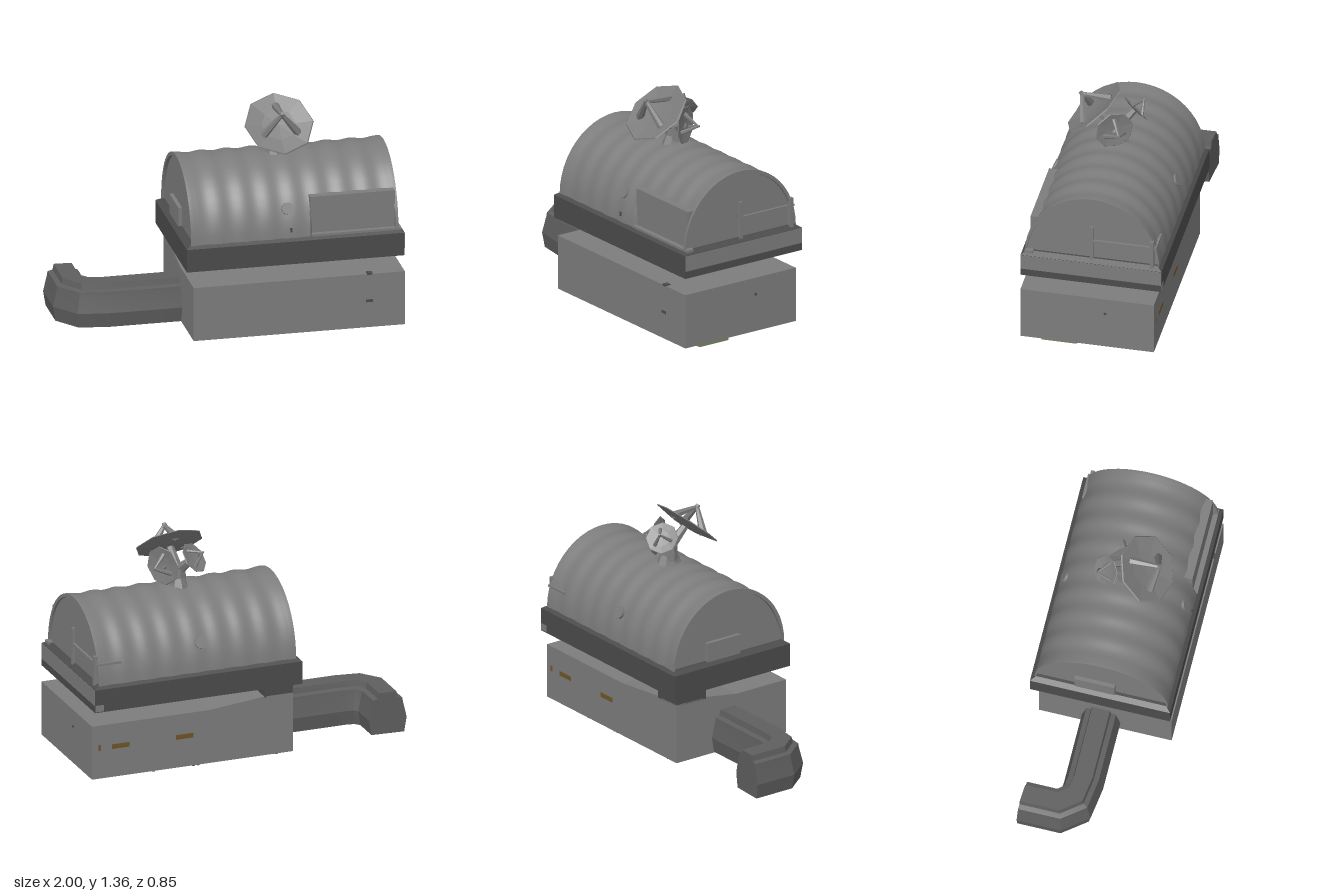
import * as THREE from 'three';
import { toCreasedNormals } from 'three/addons/utils/BufferGeometryUtils.js';

const grey = new THREE.MeshStandardMaterial({ color: 0x7c7c7c });
const flat = new THREE.MeshStandardMaterial({ color: 0x7c7c7c, flatShading: true, side: THREE.DoubleSide });
const dark = new THREE.MeshStandardMaterial({ color: 0x4b4b4b });
const tunnelGrey = new THREE.MeshStandardMaterial({ color: 0x5e5e5e });
const green = new THREE.MeshStandardMaterial({ color: 0x76865c });
const brown = new THREE.MeshStandardMaterial({ color: 0x6e5428 });
const V = (x, y, z) => new THREE.Vector3(x, y, z);

function add(parent, name, geometry, material = grey) {
  const mesh = new THREE.Mesh(geometry, material);
  mesh.name = name;
  parent.add(mesh);
  return mesh;
}

// Box given by its limits on each axis
function block(parent, name, [x0, x1], [y0, y1], [z0, z1], material = grey) {
  const m = add(parent, name, new THREE.BoxGeometry(x1 - x0, y1 - y0, z1 - z0), material);
  m.position.set((x0 + x1) / 2, (y0 + y1) / 2, (z0 + z1) / 2);
  return m;
}

// Tapered rod between two points
function rod(parent, name, a, b, r0, r1 = r0, sides = 6, material = flat) {
  const m = add(parent, name, new THREE.CylinderGeometry(r1, r0, a.distanceTo(b), sides), material);
  m.position.copy(a).lerp(b, 0.5);
  m.quaternion.setFromUnitVectors(V(0, 1, 0), b.clone().sub(a).normalize());
  return m;
}

// Closed skin through matching rings, counter-clockwise seen from the far end
function loft(rings, crease) {
  const n = rings[0].length, last = (rings.length - 1) * n, index = [];
  for (let i = 0; i < rings.length - 1; i++) {
    for (let j = 0; j < n; j++) {
      const a = i * n + j, b = i * n + (j + 1) % n;
      index.push(a, b, b + n, a, b + n, a + n);
    }
  }
  for (let j = 1; j < n - 1; j++) index.push(0, j + 1, j, last, last + j, last + j + 1);
  const g = new THREE.BufferGeometry().setFromPoints(rings.flat());
  g.setIndex(index);
  return toCreasedNormals(g, crease);
}

// Eight-sided dish with a three-legged feed, facing along a normal
function dish(parent, name, centre, normal, r, feed) {
  const g = new THREE.Group();
  g.name = name;
  const profile = [[0, -0.12], [0.5, -0.09], [1, 0], [0.97, 0.03], [0.5, -0.04], [0, -0.07]];
  add(g, 'reflector', new THREE.LatheGeometry(profile.map(([x, y]) => new THREE.Vector2(x * r, y * r)), 8), flat);
  const tip = V(0, feed, 0);
  for (const [x, z] of [[-0.5, 0.3], [0.5, 0.3], [0, -0.6]]) {
    rod(g, 'feedStrut', V(x * r, -0.04 * r, z * r), tip, r * 0.12, r * 0.06);
  }
  add(g, 'feedHorn', new THREE.CylinderGeometry(r * 0.06, r * 0.1, r * 0.15, 6), flat).position.copy(tip);
  g.position.copy(centre);
  g.quaternion.setFromUnitVectors(V(0, 1, 0), normal.clone().normalize());
  parent.add(g);
}

export function createModel() {
  const model = new THREE.Group();
  model.name = 'domedStation';

  // Lower hull, its roof rising to the corner under the column
  const xs = [-0.27, -0.09, 0.25, 0.99], zs = [-0.375, -0.16, 0.06, 0.42];
  const hull = new THREE.BoxGeometry(3, 1, 3, 3, 1, 3);
  const p = hull.attributes.position;
  for (let i = 0; i < p.count; i++) {
    const ix = Math.round(p.getX(i) + 1.5), iz = Math.round(p.getZ(i) + 1.5);
    const top = ix < 2 && iz < 2 ? 0.39 : 0.355;
    p.setXYZ(i, xs[ix], p.getY(i) > 0 ? top : 0.025, zs[iz]);
  }
  add(model, 'lowerHull', toCreasedNormals(hull, 0.05));
  block(model, 'supportColumn', [-0.27, -0.09], [0.38, 0.47], [-0.375, -0.16], dark);

  // Dark platform with a bevelled top edge and a lighter end plate
  const deck = [[0.455, 0], [0.595, 0], [0.615, 0.03]].map(([y, s]) => [
    V(-0.31 + s, y, -0.42 + s), V(-0.31 + s, y, 0.42 - s), V(0.988 - s, y, 0.42 - s), V(0.988 - s, y, -0.42 + s)]);
  add(model, 'platform', loft(deck, 0.2), dark);
  block(model, 'platformEndPlate', [0.97, 0.991], [0.5, 0.593], [-0.419, 0.419]);
  block(model, 'platformCornerPlate', [0.935, 0.985], [0.46, 0.5], [-0.422, -0.4]);

  // Corrugated vault with a plain rim and a recessed face at each end,
  // cut upright along the side panel; the ripples fade out at its foot
  const arch = (x, s) => Array.from({ length: 25 }, (_, j) => {
    const t = Math.PI * j / 24;
    const k = 1 - (1 - s) * Math.min(1, 0.3 + 2 * Math.sin(t));
    const z = -0.4 * k * Math.cos(t);
    return V(x, 0.605 + 0.42 * k * Math.sin(t), x > 0.44 && x < 0.94 ? Math.min(z, 0.365) : z);
  });
  const vault = [arch(-0.262, 0.945), arch(-0.28, 0.95), arch(-0.28, 1), arch(-0.262, 1)];
  for (let i = 0; i <= 64; i++) {
    vault.push(arch(-0.255 + 1.19 * i / 64, 0.986 + 0.011 * Math.cos(i / 64 * Math.PI * 16)));
  }
  vault.push(arch(0.942, 1), arch(0.957, 1), arch(0.957, 0.95), arch(0.945, 0.945));
  add(model, 'vault', loft(vault, 0.6));

  // Vault fittings
  block(model, 'sidePanel', [0.437, 0.942], [0.61, 0.845], [0.25, 0.37]);
  block(model, 'sideSill', [0.44, 0.975], [0.605, 0.622], [0.35, 0.4]);
  block(model, 'endHatch', [-0.285, -0.25], [0.61, 0.73], [-0.16, 0.08]);
  for (const s of [-1, 1]) {
    const port = V(0.305, 0.78, s * 0.36), out = V(0, 0.4, s * 0.917);
    rod(model, 'porthole', port.clone().addScaledVector(out, -0.02), port.clone().addScaledVector(out, 0.01),
      0.037, 0.037, 12, grey);
  }
  block(model, 'sideLatch', [0.312, 0.324], [0.645, 0.67], [0.38, 0.402], dark);

  // Railing on the end of the deck
  block(model, 'railPost', [0.95, 0.968], [0.6, 0.835], [-0.01, 0.01]);
  block(model, 'railPost', [0.95, 0.975], [0.6, 0.785], [-0.37, -0.347]);
  block(model, 'railBar', [0.952, 0.966], [0.727, 0.743], [-0.36, 0]);
  block(model, 'railBarBack', [0.81, 0.965], [0.728, 0.742], [-0.385, -0.365]);

  // Antenna mast and its three dishes
  rod(model, 'mastFoot', V(0.305, 1, 0), V(0.305, 1.065, 0), 0.085, 0.055, 8).scale.x = 0.75;
  rod(model, 'mast', V(0.305, 1.03, 0), V(0.305, 1.12, 0), 0.055, 0.048, 8);
  const head = V(0.305, 1.1, 0);
  const dishes = [
    ['mainDish', V(0.305, 1.222, 0.13), V(0, 0.756, 0.654), 0.207, 0.112],
    ['sideDish', V(0.4, 1.145, -0.01), V(0.84, 0.03, -0.5), 0.117, 0.08],
    ['rearDish', V(0.24, 1.205, -0.1), V(-0.5, 0.6, -0.6), 0.097, 0.07]];
  for (const [name, centre, normal, r, feed] of dishes) {
    rod(model, name + 'Arm', head, centre.clone().addScaledVector(normal, -0.09 * r), 0.035, 0.022);
    dish(model, name, centre, normal, r, feed);
  }

  // Docking tunnel: ridged section swept round a corner (outer and inner edge per station)
  const half = [[0.87, 0.03], [1, 0.12], [0.8, 0.22], [0.77, 0.242], [0.52, 0.25], [0.46, 0.285]];
  const section = [...half, ...half.map(([u, y]) => [-u, y]).reverse()];
  const stations = [[-0.26, 0.113, -0.26, -0.118], [-0.69, 0.113, -0.71, -0.118],
    [-0.885, 0.085, -0.75, -0.125], [-1, -0.065, -0.77, -0.145], [-1, -0.33, -0.77, -0.315]];
  const tunnel = stations.map(([ox, oz, ix, iz]) => section.map(([u, y]) => {
    const k = (1 - u) / 2;
    return V(ox + (ix - ox) * k, y, oz + (iz - oz) * k);
  }));
  add(model, 'dockingTunnel', loft(tunnel, 0.2), tunnelGrey);

  // Hull details: belly hatch, wall slots, handles and bolts
  block(model, 'bellyHatch', [0.6, 0.965], [0, 0.03], [0.09, 0.3], green);
  for (const x of [0.41, 0.81]) block(model, 'wallSlot', [x - 0.055, x + 0.055], [0.2, 0.228], [-0.378, -0.37], brown);
  block(model, 'wallTag', [0.935, 0.95], [0.2, 0.235], [-0.378, -0.37], brown);
  block(model, 'frontHandle', [0.757, 0.8], [0.182, 0.198], [0.41, 0.424], dark);
  block(model, 'roofHandle', [0.765, 0.797], [0.35, 0.362], [0.388, 0.42], dark);
  rod(model, 'endKnob', V(0.985, 0.255, -0.085), V(0.996, 0.255, -0.085), 0.008, 0.008, 6, dark);
  for (const x of [-0.17, 0.32, 0.35, 0.6]) {
    for (const z of [-0.36, -0.285, -0.06, -0.02]) {
      rod(model, 'bellyBolt', V(x, 0.03, z), V(x, 0.018, z), 0.01, 0.01, 6, dark);
    }
  }
  rod(model, 'bellyValve', V(0.75, 0.03, -0.09), V(0.75, 0.01, -0.09), 0.014, 0.008, 6, brown);
  return model;
}
